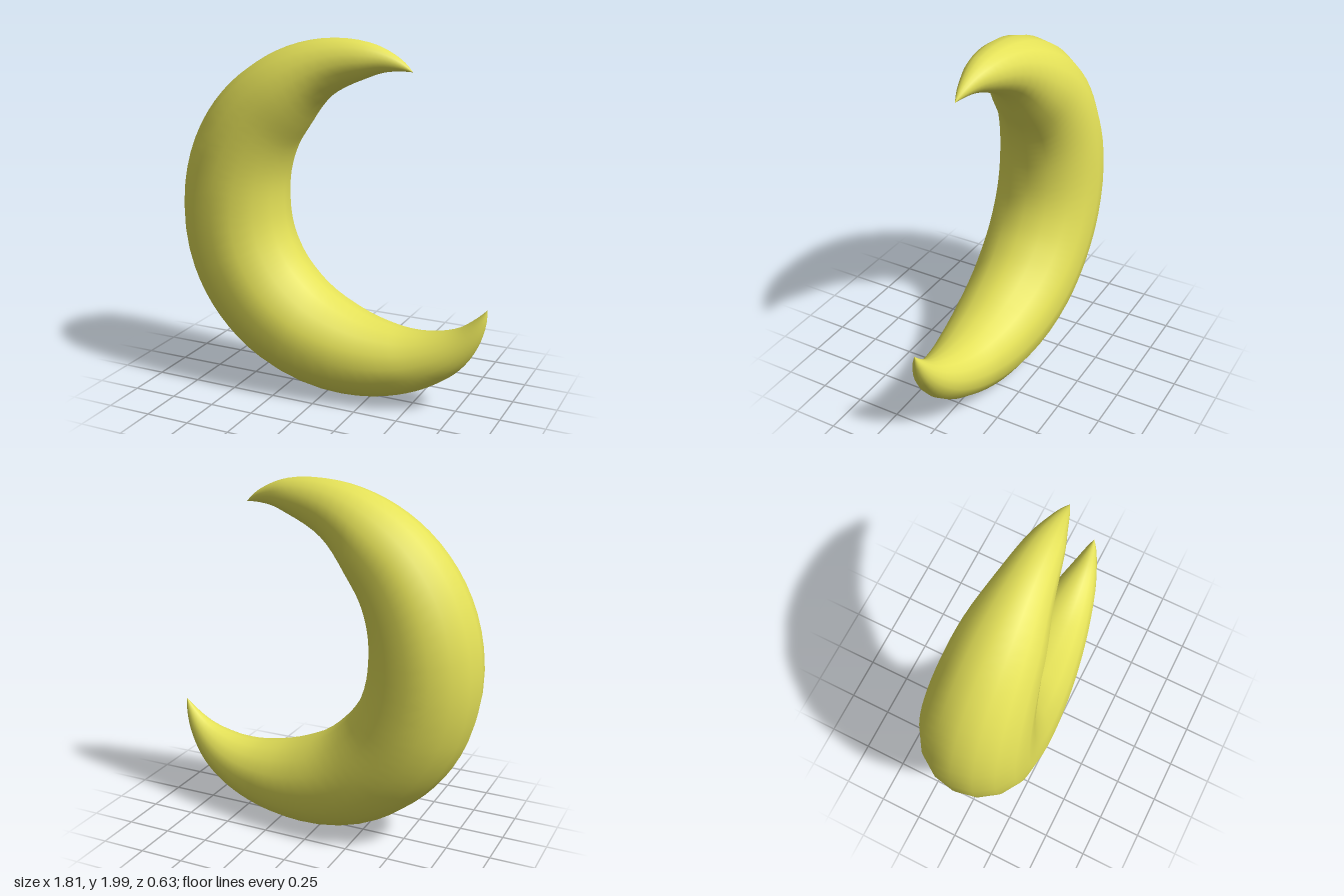
import * as THREE from 'three';

// Sections of the crescent: angle in degrees, inner radius, outer radius
const SECTIONS = [
  [66.1, 0.917, 0.917], [70, 0.893, 0.944], [76, 0.852, 0.97], [83, 0.792, 0.989],
  [98, 0.69, 1.001], [115, 0.562, 1.006], [131, 0.494, 1.008], [150, 0.432, 1.004],
  [171, 0.387, 0.997], [200, 0.37, 0.996], [220, 0.376, 0.995], [241, 0.4, 0.996],
  [271, 0.48, 0.997], [291, 0.589, 1.007], [302, 0.674, 1.014], [312, 0.755, 1.01],
  [322, 0.833, 0.98], [330, 0.878, 0.938], [334.7, 0.903, 0.903],
];
const CENTRE = { x: 0.09, y: 1.0 };
const STEPS = 72;
const SIDES = 16;

// Round rings swept around the centre, shrinking to a point at both horns
function crescentGeometry() {
  const profile = new THREE.CatmullRomCurve3(SECTIONS.map((s) => new THREE.Vector3(...s)));
  const positions = [];
  const index = [];
  for (let i = 0; i <= STEPS; i++) {
    const s = profile.getPoint(i / STEPS);
    const a = THREE.MathUtils.degToRad(s.x);
    const middle = (s.y + s.z) / 2;
    const radius = (s.z - s.y) / 2;
    for (let j = 0; j < SIDES; j++) {
      const phi = (j / SIDES) * Math.PI * 2;
      const d = middle + radius * Math.cos(phi);
      positions.push(CENTRE.x + d * Math.cos(a), CENTRE.y + d * Math.sin(a), radius * Math.sin(phi));
      if (i === STEPS) continue;
      const p = i * SIDES + j;
      const q = i * SIDES + ((j + 1) % SIDES);
      // Leave out the triangles that collapse at the tips
      if (i < STEPS - 1) index.push(p + SIDES, q + SIDES, q);
      if (i > 0) index.push(p, p + SIDES, q);
    }
  }
  const geometry = new THREE.BufferGeometry();
  geometry.setAttribute('position', new THREE.Float32BufferAttribute(positions, 3));
  geometry.setIndex(index);
  geometry.computeVertexNormals();
  return geometry;
}

export function createModel() {
  const group = new THREE.Group();
  group.name = 'crescentMoon';
  const material = new THREE.MeshStandardMaterial({ color: 0xe4e158 });
  const crescent = new THREE.Mesh(crescentGeometry(), material);
  crescent.name = 'crescent';
  group.add(crescent);
  return group;
}
